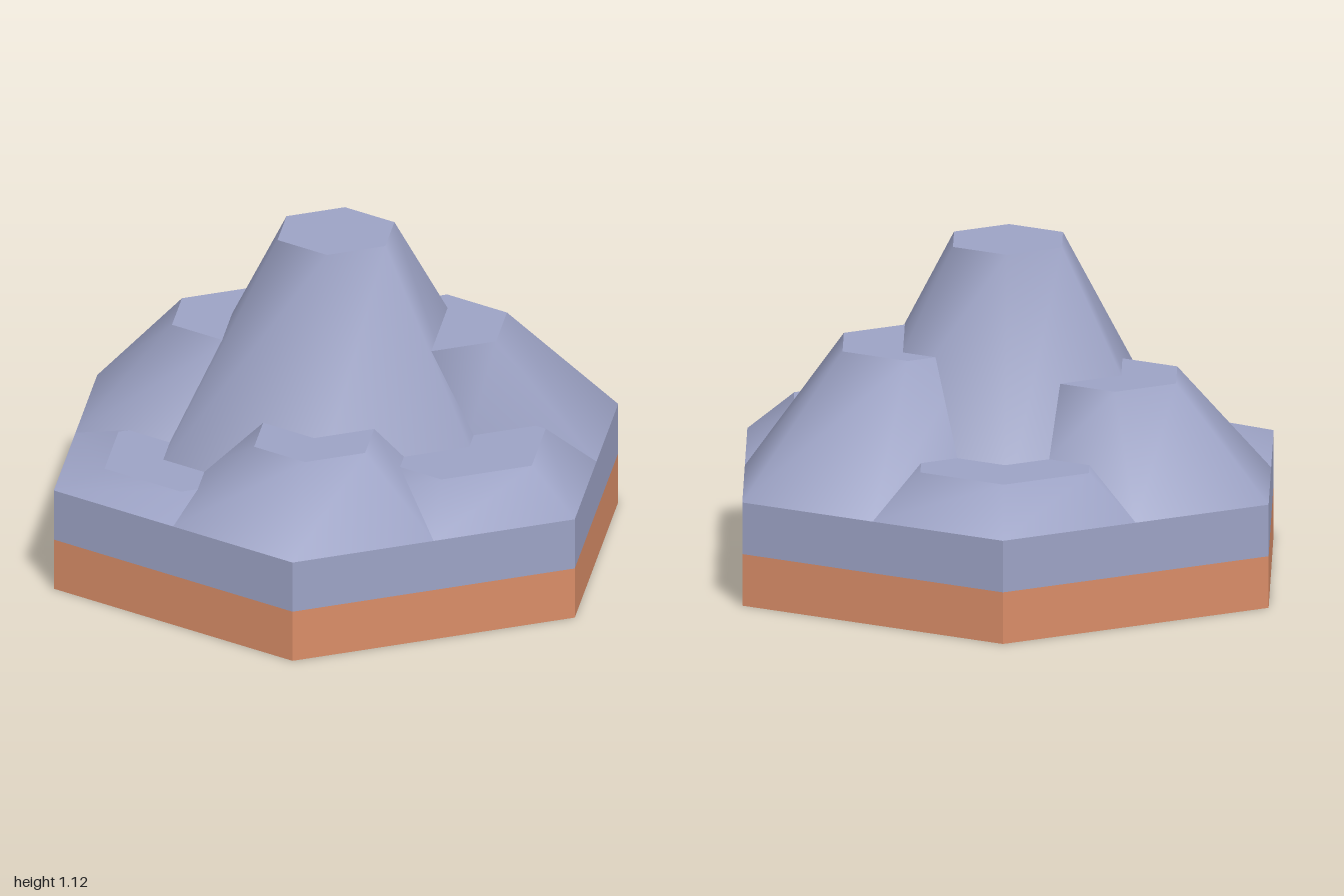
import * as THREE from 'three';
import { mergeVertices } from 'three/addons/utils/BufferGeometryUtils.js';

const SLAB_TOP = 0.35, BAND = 0.175;

// Six-sided ring wall, corners pointing along z; top may be shifted sideways
function wall(rTop, rBottom, y0, y1, shiftX = 0, shiftZ = 0, smooth = false) {
  let geo = new THREE.CylinderGeometry(rTop, rBottom, y1 - y0, 6, 1, true);
  const p = geo.attributes.position;
  for (let i = 0; i < p.count; i++) {
    if (p.getY(i) > 0) p.setXYZ(i, p.getX(i) + shiftX, p.getY(i), p.getZ(i) + shiftZ);
  }
  geo.translate(0, (y0 + y1) / 2, 0);
  if (smooth) {
    geo.deleteAttribute('uv');
    geo.deleteAttribute('normal');
    geo = mergeVertices(geo, 1e-4);
  } else {
    geo = geo.toNonIndexed();
  }
  geo.computeVertexNormals();
  return geo;
}

// Flat hexagon facing up or down
function cap(r, y, x = 0, z = 0, up = true) {
  return new THREE.CircleGeometry(r, 6, Math.PI / 2)
    .rotateX(up ? -Math.PI / 2 : Math.PI / 2)
    .translate(x, y, z);
}

export function createModel() {
  const stone = new THREE.MeshStandardMaterial({ color: 0x9ca2c4 });
  stone.name = 'blueGreyStone';
  const clay = new THREE.MeshStandardMaterial({ color: 0xd88c67 });
  clay.name = 'orangeClay';

  const model = new THREE.Group();
  model.name = 'mountainTile';
  const add = (parent, name, geo, mat) => {
    const mesh = new THREE.Mesh(geo, mat);
    mesh.name = name;
    parent.add(mesh);
  };

  // Two-layer hexagonal slab
  add(model, 'clayLayer', wall(1, 1, 0, BAND), clay);
  add(model, 'slabUnderside', cap(1, 0, 0, 0, false), clay);
  add(model, 'stoneLayer', wall(1, 1, BAND, SLAB_TOP), stone);
  add(model, 'slabTop', cap(1, SLAB_TOP), stone);

  // Truncated hills: name, base centre, base radius, top radius, top height, top shift
  const h = Math.sqrt(3) / 4;
  const hills = [
    ['mainPeak', 0, 0, 0.64, 0.207, 1.12, 0, 0],
    ['frontHill', 0, 0.5, 0.5, 0.32, 0.495, 0, 0],
    ['frontLeftHill', h, 0.25, 0.5, 0.25, 0.785, -h / 2, 0],
    ['frontRightHill', -h, 0.25, 0.5, 0.213, 0.59, 0, 0],
    ['backHill', 0, -0.5, 0.5, 0.23, 0.715, 0, 0.085],
    ['backLeftHill', h, -0.25, 0.5, 0.32, 0.495, 0, 0],
    ['backRightHill', -h, -0.25, 0.5, 0.32, 0.4, 0, 0],
  ];
  for (const [name, x, z, rBase, rTop, top, sx, sz] of hills) {
    const hill = new THREE.Group();
    hill.name = name;
    hill.position.set(x, 0, z);
    add(hill, name + 'Slope', wall(rTop, rBase, SLAB_TOP, top, sx, sz, true), stone);
    add(hill, name + 'Plateau', cap(rTop, top, sx, sz), stone);
    model.add(hill);
  }
  return model;
}
